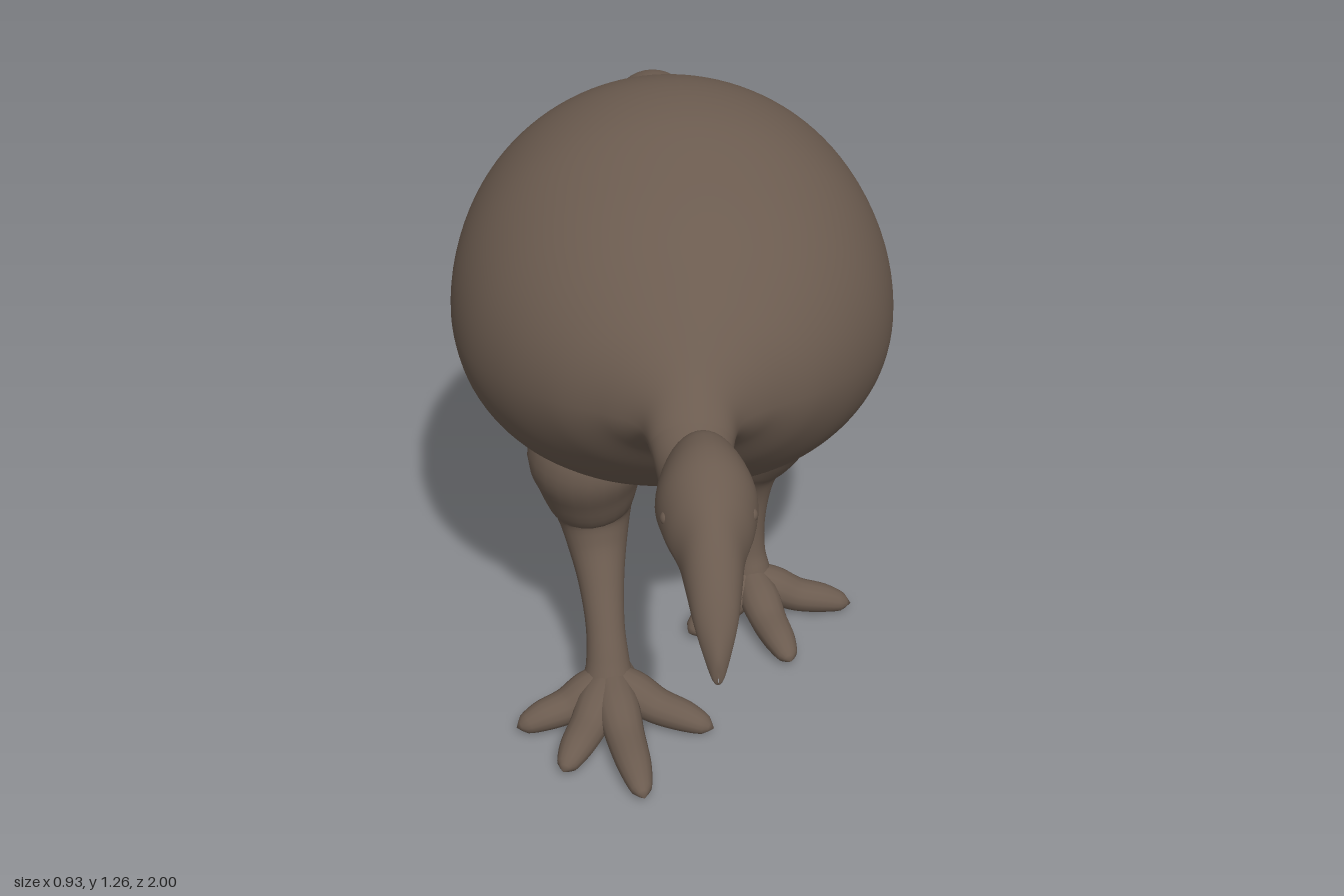
import * as THREE from 'three';
import { mergeVertices } from 'three/addons/utils/BufferGeometryUtils.js';

const plumage = new THREE.MeshStandardMaterial({ name: 'brownPlumage', color: 0x6b5b4f });

// Weld seams and give smooth normals
function smooth(geometry) {
  geometry.deleteAttribute('uv');
  geometry.deleteAttribute('normal');
  const g = mergeVertices(geometry, 1e-4);
  g.computeVertexNormals();
  return g;
}

function part(name, geometry, parent) {
  const mesh = new THREE.Mesh(geometry, plumage);
  mesh.name = name;
  parent.add(mesh);
  return mesh;
}

// Loft of egg-shaped rings; rows run from +z to -z as [z, top, bottom, halfWidth, widestY]
function loft(rows, rings, sides, ruffle = () => 0) {
  const track = new THREE.CubicInterpolant(rows.map((_, i) => i), rows.flat(), 5);
  const pos = [], index = [];
  for (let i = 0; i <= rings; i++) {
    const [z, top, bottom, w, mid] = track.evaluate((i / rings) * (rows.length - 1));
    for (let j = 0; j <= sides; j++) {
      const a = ((j % sides) / sides) * Math.PI * 2;
      const s = Math.sin(a), c = Math.cos(a);
      const k = 1 + ruffle(a, s, z);
      const x = s < 0 ? Math.sign(c) * Math.abs(c) ** 0.88 : c; // fuller below
      pos.push(x * w * k, mid + s * (s > 0 ? top - mid : mid - bottom) * k, z);
      if (i < rings && j < sides) {
        const p = i * (sides + 1) + j, q = p + sides + 1;
        index.push(p, q, p + 1, p + 1, q, q + 1);
      }
    }
  }
  const g = new THREE.BufferGeometry();
  g.setAttribute('position', new THREE.Float32BufferAttribute(pos, 3));
  g.setIndex(index);
  return smooth(g);
}

// Tube whose radius follows the fourth number of each point; flat squashes it in y
function taperTube(points, segments = 28, sides = 18, flat = 1) {
  const curve = new THREE.CatmullRomCurve3(points.map(p => new THREE.Vector3(p[0], p[1], p[2])));
  const radius = new THREE.CubicInterpolant(points.map((_, i) => i), points.map(p => p[3]), 1);
  const g = new THREE.TubeGeometry(curve, segments, 1, sides);
  const pos = g.attributes.position, v = new THREE.Vector3();
  for (let i = 0; i <= segments; i++) {
    const u = i / segments;
    const centre = curve.getPointAt(u);
    const r = Math.max(0, radius.evaluate(curve.getUtoTmapping(u) * (points.length - 1))[0]);
    for (let j = 0; j <= sides; j++) {
      const n = i * (sides + 1) + j;
      v.fromBufferAttribute(pos, n).sub(centre).multiplyScalar(r);
      v.y *= flat;
      v.add(centre);
      pos.setXYZ(n, v.x, v.y, v.z);
    }
  }
  return smooth(g);
}

// Leg with a foot: toes slope down from the ankle to tips on the ground
function leg(name, path, ankle, toes, hallux) {
  const group = new THREE.Group();
  group.name = name;
  part('shank', taperTube(path, 48, 24), group);
  const [ax, az] = ankle;
  for (const [tx, tz] of toes) {
    const knot = (t, y, r) => [ax + (tx - ax) * t, y, az + (tz - az) * t, r];
    part('toe', taperTube([
      knot(0, 0.1, 0.034), knot(0.22, 0.072, 0.046), knot(0.45, 0.047, 0.042),
      knot(0.72, 0.037, 0.036), knot(0.92, 0.027, 0.022), knot(1, 0.024, 0),
    ], 26, 14, 0.88), group);
  }
  const [hx, hz] = hallux;
  part('backToe', taperTube([
    [ax, 0.085, az, 0.034], [(ax + hx) / 2, 0.055, (az + hz) / 2, 0.042],
    [hx, 0.036, hz + 0.03, 0.032], [hx, 0.03, hz, 0],
  ], 18, 14), group);
  return group;
}

export function createModel() {
  const model = new THREE.Group();
  model.name = 'flightlessBird';

  // Round body with hanging feather ridges low at the back
  const ruffle = (a, s, z) => {
    const low = THREE.MathUtils.smoothstep(-s, -0.1, 0.75);
    const back = THREE.MathUtils.smoothstep(-z, 0, 0.4) * THREE.MathUtils.smoothstep(z, -0.78, -0.68);
    const rear = THREE.MathUtils.smoothstep(-z, 0.45, 0.62);
    const side = Math.sin(z * 52 + 2.5 * Math.sin(a * 5)) * (1 - rear);
    return low * back * 0.02 * (side + rear * Math.sin(a * 24 + Math.sin(z * 20)));
  };
  part('body', loft([
    [0.46, 0.85, 0.78, 0.04, 0.81], [0.40, 0.90, 0.775, 0.075, 0.835], [0.34, 0.95, 0.785, 0.10, 0.85],
    [0.29, 0.995, 0.755, 0.165, 0.85], [0.22, 1.055, 0.665, 0.265, 0.84],
    [0.11, 1.14, 0.56, 0.365, 0.83], [-0.02, 1.205, 0.505, 0.435, 0.82], [-0.18, 1.257, 0.49, 0.465, 0.82],
    [-0.34, 1.262, 0.505, 0.45, 0.83], [-0.48, 1.22, 0.52, 0.40, 0.84], [-0.6, 1.153, 0.53, 0.32, 0.85],
    [-0.68, 1.087, 0.61, 0.235, 0.88], [-0.73, 1.05, 0.7, 0.155, 0.91], [-0.77, 1.035, 0.83, 0.075, 0.95],
    [-0.80, 0.98, 0.94, 0.01, 0.96],
  ], 110, 112, ruffle), model);

  // Curved neck, head and hooked beak
  part('neckAndHead', loft([
    [1.0, 0.755, 0.745, 0.001, 0.75], [0.992, 0.798, 0.742, 0.014, 0.765], [0.95, 0.87, 0.795, 0.036, 0.825],
    [0.9, 0.93, 0.83, 0.048, 0.865], [0.85, 0.975, 0.845, 0.058, 0.89], [0.80, 1.005, 0.855, 0.078, 0.91],
    [0.74, 1.028, 0.86, 0.09, 0.92], [0.68, 1.03, 0.835, 0.085, 0.91], [0.62, 1.01, 0.775, 0.073, 0.88],
    [0.58, 0.945, 0.748, 0.067, 0.845], [0.54, 0.89, 0.737, 0.065, 0.81], [0.47, 0.872, 0.742, 0.067, 0.805],
    [0.40, 0.898, 0.768, 0.078, 0.83], [0.33, 0.945, 0.785, 0.09, 0.85], [0.25, 0.97, 0.8, 0.08, 0.87],
  ], 80, 40), model);

  // Small eyes, mostly sunk in the head
  for (const side of [1, -1]) {
    const eye = part('eye', new THREE.SphereGeometry(0.015, 16, 12), model);
    eye.position.set(side * 0.07, 0.935, 0.78);
  }

  // Tail stalk with a rounded fan of drooping plumes
  const tail = new THREE.Group();
  tail.name = 'tail';
  model.add(tail);
  part('tailStalk', loft([
    [-0.68, 1.055, 0.84, 0.085, 0.95], [-0.76, 1.042, 0.89, 0.06, 0.97], [-0.84, 1.052, 0.91, 0.064, 0.98],
    [-0.91, 1.048, 0.905, 0.078, 0.98], [-0.96, 1.025, 0.915, 0.068, 0.97], [-0.985, 0.98, 0.95, 0.01, 0.965],
  ], 30, 28), tail);
  for (let i = -2; i <= 2; i++) {
    const x = i * 0.029, drop = 0.02 * Math.abs(i), pull = 0.008 * i * i;
    part('upperPlume', taperTube([
      [x * 0.6, 1.0, -0.82, 0.01], [x, 1.014 - drop, -0.91, 0.028], [x * 1.1, 0.985 - drop, -0.965 + pull, 0.026],
      [x * 1.05, 0.92 - drop * 0.5, -0.985 + pull, 0.02], [x, 0.855 + drop * 0.3, -0.997 + pull, 0],
    ], 20, 10), tail);
    part('lowerPlume', taperTube([
      [x * 0.6, 0.95, -0.82, 0.01], [x, 0.945, -0.88, 0.028],
      [x, 0.915, -0.925, 0.024], [x, 0.865 + drop * 0.5, -0.945, 0],
    ], 16, 10), tail);
  }

  // Right leg steps forward, left leg stands behind
  model.add(leg('rightLeg', [
    [-0.17, 0.68, -0.02, 0.08], [-0.19, 0.58, -0.02, 0.125], [-0.188, 0.49, -0.035, 0.106],
    [-0.18, 0.41, -0.055, 0.084], [-0.174, 0.34, -0.03, 0.066], [-0.168, 0.27, 0.022, 0.05],
    [-0.163, 0.19, 0.08, 0.042], [-0.16, 0.12, 0.118, 0.047], [-0.16, 0.07, 0.135, 0.054], [-0.16, 0.012, 0.14, 0],
  ], [-0.157, 0.135], [[-0.36, 0.21], [-0.265, 0.36], [-0.1, 0.455], [0.06, 0.24]], [-0.13, 0.025]));
  model.add(leg('leftLeg', [
    [0.18, 0.68, -0.17, 0.08], [0.222, 0.58, -0.175, 0.12], [0.208, 0.49, -0.205, 0.095],
    [0.177, 0.4, -0.243, 0.08], [0.174, 0.32, -0.25, 0.054], [0.174, 0.23, -0.242, 0.039],
    [0.176, 0.15, -0.235, 0.039], [0.18, 0.1, -0.225, 0.047], [0.18, 0.06, -0.22, 0.052], [0.18, 0.012, -0.22, 0],
  ], [0.18, -0.215], [[0.41, -0.19], [0.25, 0.02], [0.03, -0.1]], [0.17, -0.32]));

  return model;
}
